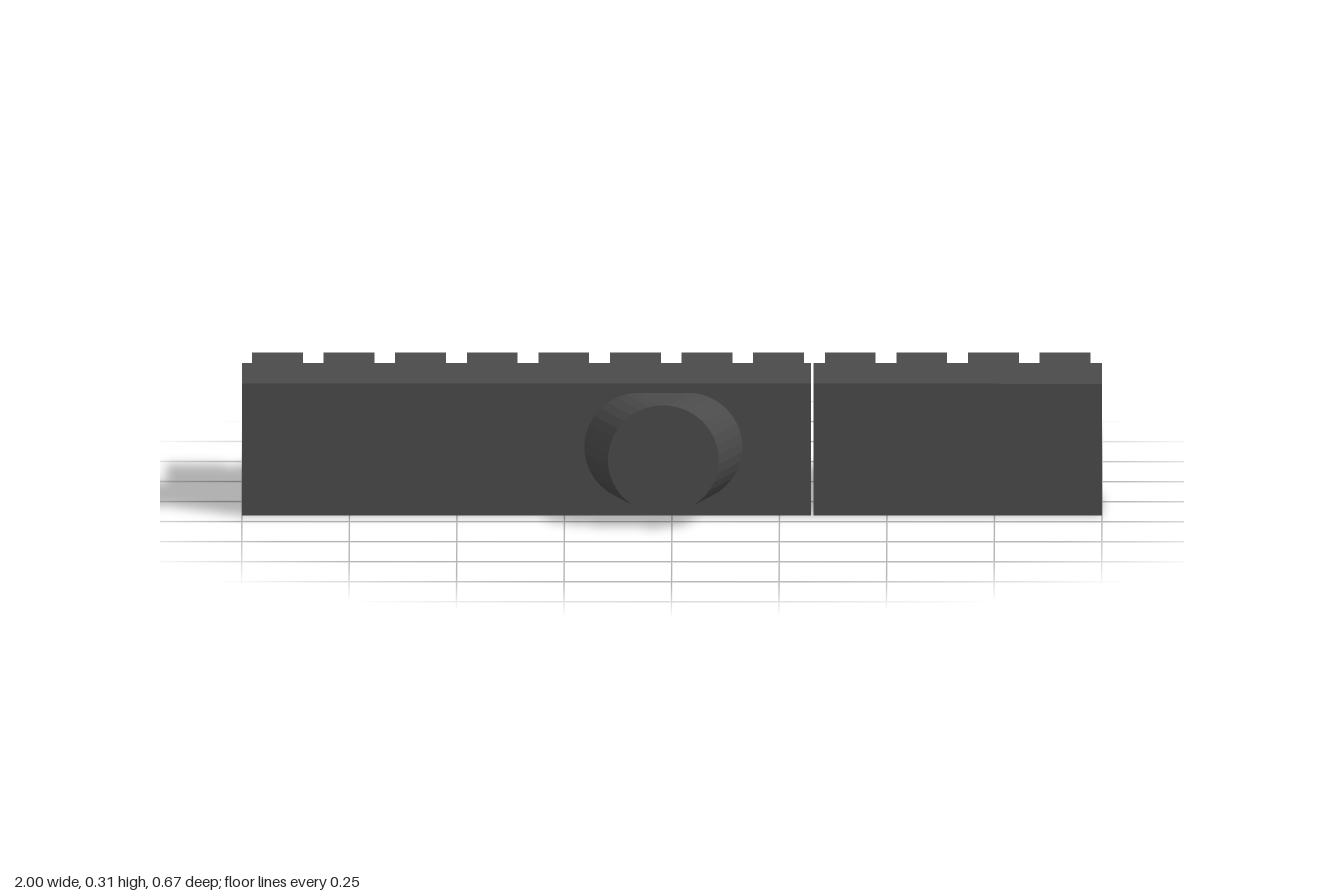
import * as THREE from 'three';

export function createModel() {
  const group = new THREE.Group();
  const material = new THREE.MeshStandardMaterial({ color: 0x4a4a4a, flatShading: true });

  // Box given by its min and max corners
  function box(name, [x0, y0, z0], [x1, y1, z1]) {
    const mesh = new THREE.Mesh(new THREE.BoxGeometry(x1 - x0, y1 - y0, z1 - z0), material);
    mesh.position.set((x0 + x1) / 2, (y0 + y1) / 2, (z0 + z1) / 2);
    mesh.name = name;
    group.add(mesh);
  }

  // Bar in two lengths with a hairline seam between them
  box('longBar', [-1, 0, -0.085], [0.323, 0.312, 0.173]);
  box('shortBar', [0.329, 0, -0.085], [1, 0.312, 0.173]);

  // Two rows of twelve teeth along the back; the four at the right are a hair shorter
  for (const [row, y] of [['lower', 0.025], ['upper', 0.18]]) {
    for (let i = 0; i < 12; i++) {
      const x = -0.977 + i * 0.1665;
      const back = i < 4 ? -0.33 : -0.333;
      box(`${row}Tooth${i + 1}`, [x, y, back], [x + 0.118, y + 0.11, -0.085]);
    }
  }

  // Round knob whose base widens sideways into an oval
  const depth = 0.16;
  const segments = 36;
  const knobGeometry = new THREE.CylinderGeometry(
    0.129, 0.129, depth, segments, 1, false, Math.PI / segments);
  knobGeometry.rotateX(Math.PI / 2);
  const p = knobGeometry.attributes.position;
  for (let i = 0; i < p.count; i++) {
    if (p.getZ(i) < 0 && Math.abs(p.getX(i)) > 0.001) {
      p.setX(i, p.getX(i) + Math.sign(p.getX(i)) * 0.055);
    }
  }
  knobGeometry.computeVertexNormals();
  const knob = new THREE.Mesh(knobGeometry, material);
  knob.position.set(-0.02, 0.162, 0.173 + depth / 2);
  knob.name = 'knob';
  group.add(knob);

  return group;
}
